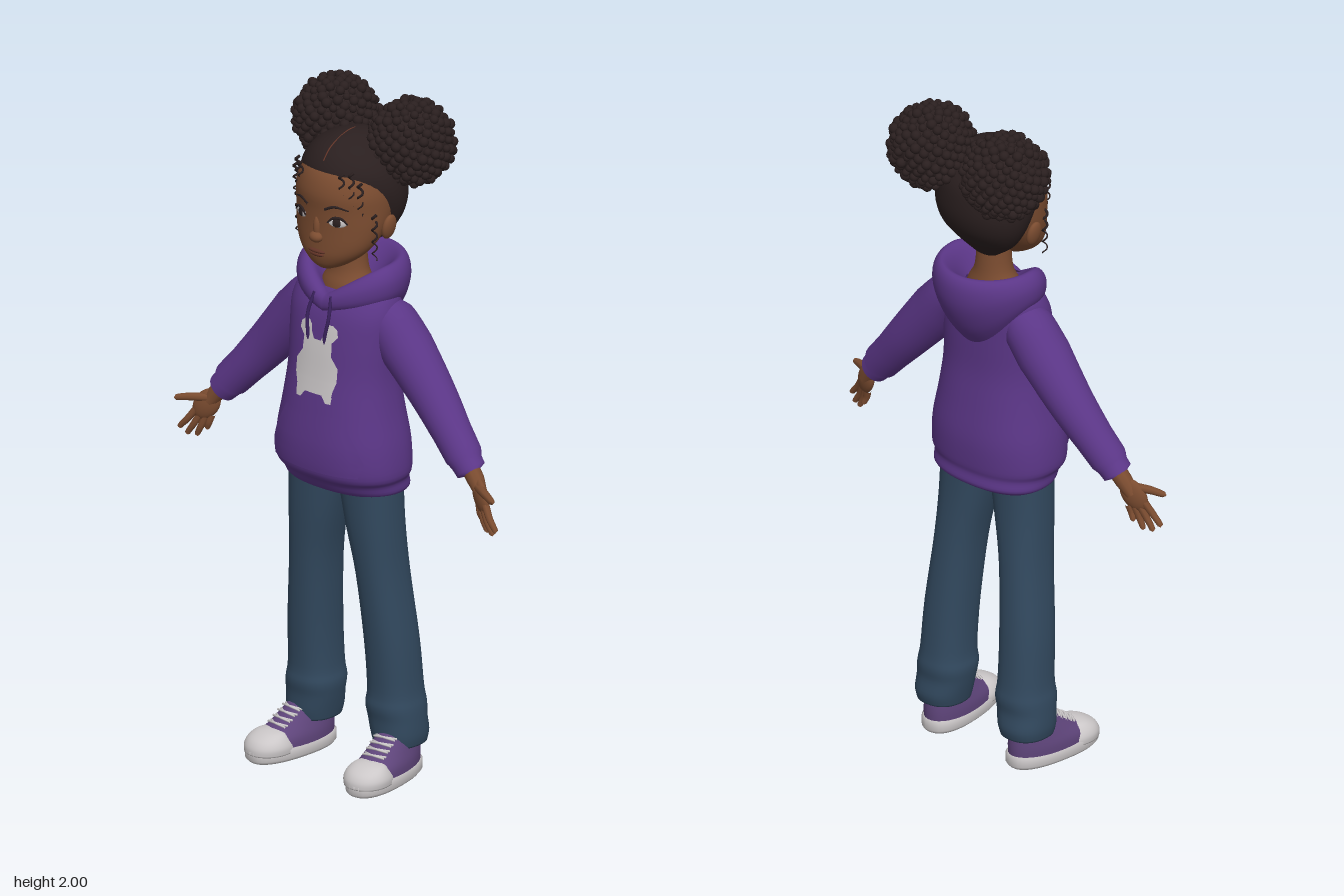
import * as THREE from 'three';
import { mergeGeometries } from 'three/addons/utils/BufferGeometryUtils.js';

const mat = (name, color, side = THREE.FrontSide) =>
  Object.assign(new THREE.MeshStandardMaterial({ color, side }), { name });

const M = {
  hoodie: mat('hoodie purple', 0x5b3687, THREE.DoubleSide),
  cord: mat('cord purple', 0x38205a),
  jeans: mat('denim blue', 0x32495f),
  skin: mat('skin brown', 0x7b4c30),
  lips: mat('lip brown', 0x623427),
  hair: mat('hair black brown', 0x2a1f1f),
  white: mat('off white', 0xcbc7c8, THREE.DoubleSide),
  canvas: mat('canvas purple', 0x5e447a),
};

const lerp = THREE.MathUtils.lerp;

// Joins closed rings of points (listed upwards) into a smooth skin
function skinRings(rings, caps = true) {
  const n = rings[0].length, pos = [], idx = [];
  rings.forEach(r => r.forEach(p => pos.push(...p)));
  for (let i = 0; i < rings.length - 1; i++) for (let j = 0; j < n; j++) {
    const a = i * n + j, b = i * n + (j + 1) % n;
    idx.push(a, b, b + n, a, b + n, a + n);
  }
  if (caps) for (const [k, up] of [[0, false], [rings.length - 1, true]]) {
    const c = pos.length / 3;
    pos.push(...[0, 1, 2].map(m => rings[k].reduce((s, p) => s + p[m], 0) / n));
    for (let j = 0; j < n; j++) {
      const a = k * n + j, b = k * n + (j + 1) % n;
      up ? idx.push(a, b, c) : idx.push(b, a, c);
    }
  }
  const g = new THREE.BufferGeometry();
  g.setAttribute('position', new THREE.Float32BufferAttribute(pos, 3));
  g.setIndex(idx);
  g.computeVertexNormals();
  return g;
}

// Rows are [y, centreX, halfWidth, frontZ, backZ]; smooth them with a cubic
function dense(rows, sub = 4) {
  const out = [], at = i => rows[Math.max(0, Math.min(rows.length - 1, i))];
  for (let i = 0; i < rows.length - 1; i++) for (let k = 0; k < sub; k++) {
    const t = k / sub;
    out.push(rows[i].map((b, m) => {
      const a = at(i - 1)[m], c = at(i + 1)[m], d = at(i + 2)[m];
      return b + 0.5 * t * (c - a + t * (2 * a - 5 * b + 4 * c - d + t * (3 * (b - c) + d - a)));
    }));
  }
  out.push(rows[rows.length - 1]);
  return out;
}
const sgnPow = (v, e) => Math.sign(v) * Math.abs(v) ** e;
function loft(rows, power = 2, seg = 40, caps = true) {
  return skinRings(rows.map(([y, cx, rx, zf, zb]) => Array.from({ length: seg }, (_, j) => {
    const a = j / seg * Math.PI * 2, e = 2 / power;
    return [cx + rx * sgnPow(Math.sin(a), e), y, (zf + zb) / 2 + (zf - zb) / 2 * sgnPow(Math.cos(a), e)];
  })), caps);
}
// Front surface depth of a loft at (x, y)
function frontZ(rows, x, y, power = 2) {
  const i = Math.max(0, Math.min(rows.length - 2, rows.findIndex(r => r[0] > y) - 1));
  const t = (y - rows[i][0]) / (rows[i + 1][0] - rows[i][0]);
  const [, cx, rx, zf, zb] = rows[i].map((v, m) => lerp(v, rows[i + 1][m], t));
  return (zf + zb) / 2 + (zf - zb) / 2 * Math.max(0, 1 - Math.abs((x - cx) / rx) ** power) ** (1 / power);
}
// Thin sheet laid on a loft; spans are [y, xLeft, xRight] from the bottom up
function patch(rows, power, spans, lift) {
  const pos = [], idx = [], n = 12, sub = 4;
  const lines = [];
  spans.forEach((s, i) => {
    if (i) for (let k = 1; k <= sub; k++) lines.push(s.map((v, m) => lerp(spans[i - 1][m], v, k / sub)));
    else lines.push(s);
  });
  lines.forEach(([y, a, b], i) => {
    for (let j = 0; j <= n; j++) {
      const x = lerp(a, b, j / n), k = i * (n + 1) + j;
      pos.push(x, y, frontZ(rows, x, y, power) + lift);
      if (i && j) idx.push(k - n - 2, k - n - 1, k, k - n - 2, k, k - 1);
    }
  });
  const g = new THREE.BufferGeometry();
  g.setAttribute('position', new THREE.Float32BufferAttribute(pos, 3));
  g.setIndex(idx);
  g.computeVertexNormals();
  return g;
}
// Tube through [x, y, z, radius] points
function limb(pts, seg = 20, sides = 10) {
  const curve = new THREE.CatmullRomCurve3(pts.map(p => new THREE.Vector3(...p.slice(0, 3))));
  const g = new THREE.TubeGeometry(curve, seg, 1, sides), P = g.attributes.position, v = new THREE.Vector3();
  for (let i = 0; i <= seg; i++) {
    const c = curve.getPointAt(i / seg), f = curve.getUtoTmapping(i / seg) * (pts.length - 1);
    const k = Math.min(pts.length - 2, Math.floor(f)), r = lerp(pts[k][3], pts[k + 1][3], f - k);
    for (let j = 0; j <= sides; j++) {
      const q = i * (sides + 1) + j;
      v.fromBufferAttribute(P, q).sub(c).multiplyScalar(r).add(c);
      P.setXYZ(q, v.x, v.y, v.z);
    }
  }
  return g;
}

export function createModel() {
  const model = new THREE.Group();
  const add = (name, geo, material, parent = model) => {
    const m = new THREE.Mesh(geo, material);
    m.name = name;
    parent.add(m);
    return m;
  };
  const blob = (name, material, [x, y, z], [a, b, c], parent) => {
    const m = add(name, new THREE.SphereGeometry(1, 20, 14), material, parent);
    m.position.set(x, y, z);
    m.scale.set(a, b, c);
    return m;
  };

  // Hoodie body, pocket, print and hood
  const body = dense([
    [.845, 0, .165, .09, -.095], [.86, 0, .188, .135, -.112], [.89, 0, .192, .155, -.108], [.92, 0, .205, .176, -.113],
    [1, 0, .2, .18, -.115], [1.1, 0, .181, .168, -.102], [1.2, 0, .168, .153, -.09], [1.3, 0, .17, .142, -.09],
    [1.38, 0, .172, .128, -.09], [1.43, 0, .16, .105, -.085], [1.45, 0, .145, .092, -.08]]);
  add('hoodieBody', loft(body, 2.3, 56, false), M.hoodie);
  add('pocket', patch(body, 2.3, [[.93, -.15, .15], [.97, -.165, .165], [1.02, -.145, .145], [1.1, -.1, .1]], .008), M.hoodie);
  add('chestPrint', patch(body, 2.3, [[1.155, -.062, .062], [1.17, -.064, .064], [1.2, -.074, .074],
    [1.24, -.074, .074], [1.27, -.052, .052], [1.31, -.05, .05]], .006), M.white);
  for (const s of [1, -1]) {
    const side = spans => spans.map(([y, a, b]) => s > 0 ? [y, a, b] : [y, -b, -a]);
    add('printTop', patch(body, 2.3, side([[1.31, .012, .05], [1.33, .022, .068], [1.35, .026, .064], [1.36, .034, .05]]), .006), M.white);
    add('printFoot', patch(body, 2.3, side([[1.135, .045, .062], [1.155, .03, .064]]), .006), M.white);
    add('drawstring', limb([[s * .03, 1.44, .122, .005], [s * .038, 1.38, .143, .005], [s * .03, 1.32, .152, .005], [s * .03, 1.305, .152, .001]]), M.cord);
  }
  // Rings: [halfWidth, frontZ, backZ, frontY, sideY, backY]
  const hood = dense([
    [.145, .105, -.085, 1.375, 1.41, 1.29], [.164, .128, -.13, 1.395, 1.445, 1.35], [.167, .13, -.163, 1.42, 1.485, 1.43],
    [.155, .118, -.166, 1.435, 1.514, 1.495], [.135, .1, -.145, 1.435, 1.525, 1.525],
    [.11, .085, -.11, 1.425, 1.505, 1.5], [.08, .065, -.065, 1.4, 1.45, 1.45]]);
  add('hood', skinRings(hood.map(([rx, zf, zb, yf, ys, yb]) => Array.from({ length: 56 }, (_, j) => {
    const a = j / 56 * Math.PI * 2, c = Math.cos(a), s = Math.sin(a);
    return [rx * s, c > 0 ? lerp(ys, yf, 1 - Math.abs(s)) : lerp(ys, yb, c * c), c > 0 ? zf * c : -zb * c];
  })), false), M.hoodie);

  // Neck and head
  add('neck', loft(dense([[1.4, 0, .1, .083, -.06], [1.45, 0, .082, .075, -.05], [1.5, 0, .056, .058, -.04], [1.6, 0, .05, .055, -.035]])), M.skin);
  const face = dense([
    [1.52, 0, .025, .125, .075], [1.535, 0, .058, .14, .04], [1.565, 0, .098, .149, .0], [1.6, 0, .124, .15, -.035],
    [1.65, 0, .141, .15, -.08], [1.7, 0, .147, .152, -.11], [1.75, 0, .146, .156, -.12], [1.8, 0, .132, .142, -.12],
    [1.83, 0, .11, .112, -.1], [1.86, 0, .05, .05, -.06]]);
  add('face', loft(face, 2, 48), M.skin);
  const scalp = dense([
    [1.555, 0, .04, -.005, -.045], [1.6, 0, .1, .03, -.085], [1.65, 0, .135, .06, -.125], [1.7, 0, .152, .09, -.145],
    [1.75, 0, .155, .122, -.15], [1.8, 0, .145, .135, -.145], [1.84, 0, .122, .12, -.125], [1.87, 0, .09, .092, -.095],
    [1.892, 0, .045, .05, -.06], [1.9, 0, .008, .01, -.015]]);
  add('scalpHair', loft(scalp, 2, 48), M.hair);
  add('hairParting', limb([[0, 1.84, .12, .002], [0, 1.872, .09, .002], [0, 1.9, 0, .002], [0, 1.87, -.095, .002]]), M.lips);
  blob('nose', M.skin, [0, 1.622, .152], [.022, .016, .017]);
  blob('noseBridge', M.skin, [0, 1.65, .146], [.012, .035, .012]);
  blob('upperLip', M.lips, [0, 1.579, .149], [.03, .006, .008]);
  blob('lowerLip', M.lips, [0, 1.57, .149], [.025, .007, .008]);

  // Bun tufts are spread evenly over a ball, with a small seeded wobble
  let seed = 7;
  const rnd = () => (seed = (seed * 16807) % 2147483647) / 2147483647;
  const bun = () => {
    const parts = [new THREE.IcosahedronGeometry(.113, 4)], n = 260;
    for (let i = 0; i < n; i++) {
      const y = 1 - 2 * (i + .5) / n, q = Math.sqrt(1 - y * y), a = i * 2.39996, d = .109 + rnd() * .01;
      const g = new THREE.IcosahedronGeometry(.011 + rnd() * .005, 1);
      parts.push(g.translate(q * Math.cos(a) * d, y * d, q * Math.sin(a) * d));
    }
    return mergeGeometries(parts);
  };
  // Loose corkscrew strand
  const curl = (x, y, z, length, turns) => limb(Array.from({ length: turns * 6 + 1 }, (_, i) => {
    const t = i / (turns * 6), a = i * Math.PI / 3;
    return [x + .007 * Math.cos(a), y - length * t, z + .007 * Math.sin(a), .0045 - .003 * t];
  }), turns * 12, 6);

  for (const s of [1, -1]) {
    // Hair on each side
    add('hairBun', bun(), M.hair).position.set(s * .136, 1.868, -.095);
    add('templeCurl', curl(s * .14, 1.7, .065, .14, 4), M.hair);
    add('foreheadCurl', curl(s * .098, 1.83, .115, .1, 3), M.hair);
    add('foreheadCurl', curl(s * .075, 1.825, .13, .065, 2), M.hair);
    add('foreheadCurl', curl(s * .118, 1.8, .1, .1, 3), M.hair);

    // Ear, eye and brow
    blob('ear', M.skin, [s * .147, 1.648, .012], [.014, .038, .026]).rotation.z = -s * .2;
    const eye = new THREE.Group();
    eye.name = 'eye';
    eye.position.set(s * .066, 1.676, frontZ(face, .066, 1.676) - .001);
    eye.rotation.y = s * .4;
    model.add(eye);
    blob('eyeWhite', M.white, [0, 0, 0], [.027, .014, .005], eye);
    blob('iris', M.hair, [-s * .002, 0, .002], [.014, .0135, .005], eye);
    add('upperLash', limb([[-.03, -.002, .002, .002], [-.012, .014, .004, .004], [.012, .014, .004, .004], [.03, -.002, .002, .002]]), M.hair, eye);
    add('eyebrow', limb([.03, .06, .095].map((x, i) => {
      const y = [1.712, 1.724, 1.714][i];
      return [s * x, y, frontZ(face, x, y), [.004, .004, .002][i]];
    })), M.hair);

    // Sleeve with a gathered cuff
    add('sleeve', limb([[s * .09, 1.385, 0, .045], [s * .14, 1.355, -.003, .074], [s * .2, 1.29, -.004, .077], [s * .3, 1.175, -.002, .065],
      [s * .375, 1.09, .008, .056], [s * .425, 1.035, .016, .053], [s * .437, 1.02, .018, .045], [s * .458, .998, .02, .043], [s * .462, .993, .02, .015]], 48, 24), M.hoodie);

    // Hand with the palm forward and the thumb outward
    const hand = new THREE.Group();
    hand.name = 'hand';
    model.add(hand);
    add('wrist', limb([[s * .44, 1.02, .018, .026], [s * .475, .98, .024, .025], [s * .5, .945, .03, .018]]), M.skin, hand);
    const palm = blob('palm', M.skin, [s * .502, .943, .034], [.036, .052, .017], hand);
    palm.rotation.set(0, -s * .4, s * .58);
    const fingers = [
      [.53, .925, .046, .578, .857, .06], [.518, .914, .04, .558, .84, .05],
      [.505, .908, .034, .531, .84, .04], [.49, .912, .026, .505, .862, .028]];
    for (const [x, y, z, u, v, w] of fingers) add('finger', limb([[s * x, y, z, .011],
      [s * (x + u) / 2, (y + v) / 2, (z + w) / 2 + .003, .01], [s * u, v + .006, w, .008], [s * u, v, w, .001]], 14, 8), M.skin, hand);
    add('thumb', limb([[s * .495, .965, .035, .014], [s * .54, .962, .058, .012], [s * .578, .955, .074, .009], [s * .585, .953, .077, .001]], 14, 8), M.skin, hand);

    // Trouser leg
    add('trouserLeg', loft(dense([
      [.095, s * .156, .07, .05, -.1], [.125, s * .155, .076, .056, -.106], [.17, s * .15, .08, .058, -.1], [.21, s * .146, .081, .064, -.103],
      [.26, s * .145, .074, .06, -.096], [.4, s * .14, .071, .07, -.086], [.6, s * .122, .068, .087, -.07],
      [.75, s * .104, .08, .1, -.06], [.88, s * .09, .093, .105, -.058]]), 2.3, 32), M.jeans);

    // Shoe
    const shoe = new THREE.Group();
    shoe.name = 'shoe';
    shoe.position.x = s * .163;
    shoe.rotation.y = s * .13;
    model.add(shoe);
    add('sole', loft([[0, 0, .06, .205, -.085], [.01, 0, .068, .214, -.092], [.035, 0, .068, .214, -.092], [.04, 0, .06, .205, -.085]], 2.4), M.white, shoe);
    add('shoeUpper', loft(dense([[.03, 0, .065, .195, -.086], [.06, 0, .064, .18, -.087], [.09, 0, .056, .125, -.085],
      [.12, 0, .047, .08, -.08], [.142, 0, .04, .055, -.07]]), 2.2), M.canvas, shoe);
    add('toeCap', loft(dense([[.025, 0, .066, .214, .06], [.045, 0, .067, .212, .07], [.065, 0, .058, .198, .085],
      [.08, 0, .042, .17, .1], [.086, 0, .015, .145, .12]]), 2.1), M.white, shoe);
    for (let i = 0; i < 4; i++) for (const d of [1, -1]) {
      const y = .134 - i * .012, z = .066 + i * .018;
      add('lace', limb([[-.034, y - .006, z - .012 - d * .006, .0035], [0, y, z + .002, .0035], [.034, y - .006, z - .012 + d * .006, .0035]], 8, 6), M.white, shoe);
    }
  }
  return model;
}
